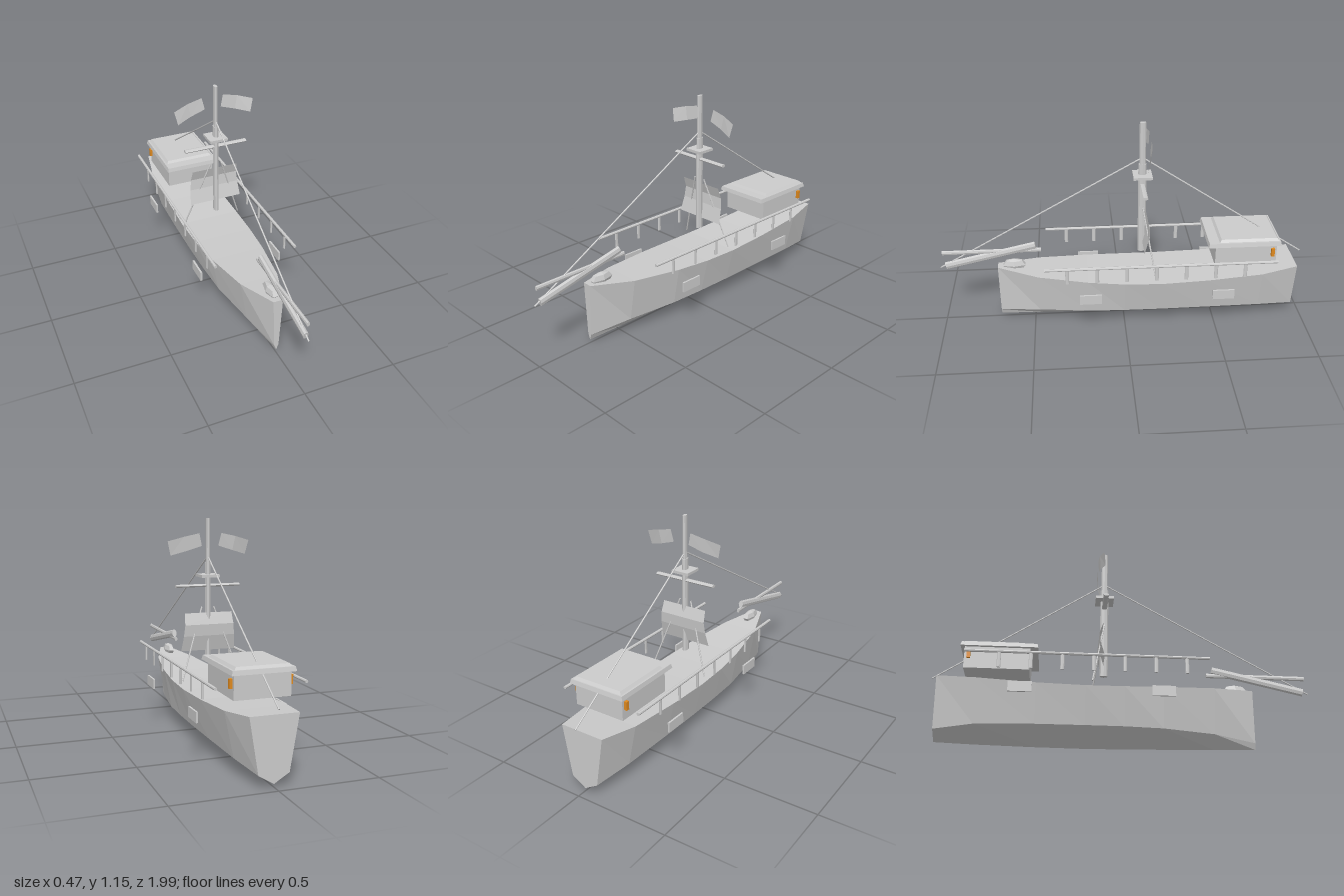
import * as THREE from 'three';

const grey = new THREE.MeshStandardMaterial({ color: 0xcccccc, flatShading: true });
const greyThin = new THREE.MeshStandardMaterial({ color: 0xcccccc, flatShading: true, side: THREE.DoubleSide });
const orange = new THREE.MeshStandardMaterial({ color: 0xe08a1e, flatShading: true });

export function createModel() {
  const ship = new THREE.Group();
  ship.name = 'ship';

  const add = (name, geo, mat = grey) => {
    const mesh = new THREE.Mesh(geo, mat);
    mesh.name = name;
    ship.add(mesh);
    return mesh;
  };
  const box = (name, w, h, d, x, y, z, mat) => add(name, new THREE.BoxGeometry(w, h, d).translate(x, y, z), mat);

  // Round pole between two points, optionally narrowed across the ship
  const pole = (name, from, to, r, sides = 8, squash = 1) => {
    const a = new THREE.Vector3(...from), b = new THREE.Vector3(...to);
    const dir = b.clone().sub(a);
    const geo = new THREE.CylinderGeometry(r, r, dir.length(), sides);
    geo.applyQuaternion(new THREE.Quaternion().setFromUnitVectors(new THREE.Vector3(0, 1, 0), dir.normalize()));
    geo.scale(squash, 1, 1);
    const mid = a.add(b).multiplyScalar(0.5);
    return add(name, geo.translate(mid.x, mid.y, mid.z));
  };

  // Thin curved sheet from rows of [left point, right point]
  const sheet = (name, rows) => {
    const pos = rows.flat(2), idx = [];
    for (let i = 0; i < rows.length - 1; i++) {
      const k = i * 2;
      idx.push(k, k + 2, k + 3, k, k + 3, k + 1);
    }
    const geo = new THREE.BufferGeometry();
    geo.setAttribute('position', new THREE.Float32BufferAttribute(pos, 3));
    geo.setIndex(idx);
    const flat = geo.toNonIndexed();
    flat.computeVertexNormals();
    return add(name, flat, greyThin);
  };

  // Rectangular slab with a smaller top
  const taperedSlab = (name, w, h, d, inset, y, z) => {
    const geo = new THREE.BoxGeometry(w, h, d);
    const p = geo.attributes.position;
    for (let i = 0; i < p.count; i++) {
      if (p.getY(i) > 0) {
        p.setX(i, p.getX(i) - Math.sign(p.getX(i)) * inset);
        p.setZ(i, p.getZ(i) - Math.sign(p.getZ(i)) * inset);
      }
    }
    geo.computeVertexNormals();
    return add(name, geo.translate(0, y, z));
  };

  // Hull stations, stern to bow: z, keel y, chine x, chine y, sheer x, sheer y
  const stations = [
    [-0.95, 0.015, 0.075, 0.06, 0.12, 0.328],
    [-0.75, 0.008, 0.11, 0.08, 0.158, 0.308],
    [-0.45, 0.002, 0.12, 0.085, 0.166, 0.288],
    [-0.2, 0, 0.122, 0.085, 0.17, 0.28],
    [0, 0.002, 0.12, 0.085, 0.165, 0.283],
    [0.2, 0.006, 0.11, 0.083, 0.148, 0.293],
    [0.47, 0.012, 0.065, 0.075, 0.105, 0.312],
    [0.69, 0.018, 0.012, 0.05, 0.026, 0.335],
  ];
  const pos = [], idx = [], n = 5;
  stations.forEach(([z, ky, cx, cy, sx, sy]) =>
    pos.push(0, ky, z, cx, cy, z, sx, sy, z, -sx, sy, z, -cx, cy, z));
  for (let i = 0; i < stations.length - 1; i++) {
    for (let j = 0; j < n; j++) {
      const a = i * n + j, b = i * n + (j + 1) % n;
      idx.push(a, b, b + n, a, b + n, a + n);
    }
  }
  const last = (stations.length - 1) * n;
  for (let j = 1; j < n - 1; j++) idx.push(0, j + 1, j, last, last + j, last + j + 1);
  let hull = new THREE.BufferGeometry();
  hull.setAttribute('position', new THREE.Float32BufferAttribute(pos, 3));
  hull.setIndex(idx);
  hull = hull.toNonIndexed();
  hull.computeVertexNormals();
  add('hull', hull);

  // Bow fittings
  add('bowFigure', new THREE.SphereGeometry(1, 6, 4).scale(0.028, 0.036, 0.07).translate(0, 0.338, 0.6));
  pole('bowsprit', [0, 0.425, 0.45], [0, 0.425, 0.985], 0.013, 8, 0.7);
  pole('lowerBowsprit', [0, 0.345, 0.97], [0, 0.455, 0.48], 0.022, 8, 0.65);

  // Mast, lookout and yard
  pole('lowerMast', [0, 0.4, -0.1], [0, 0.92, -0.1], 0.022, 8, 0.63);
  pole('upperMast', [0, 0.9, -0.1], [0, 1.15, -0.1], 0.017, 8, 0.6);
  box('lookoutPlatform', 0.1, 0.014, 0.1, 0, 0.854, -0.1);
  const yard = pole('yard', [-0.175, 0, 0], [0.175, 0, 0], 0.008);
  yard.geometry.scale(1, 1, 1.8);
  yard.position.set(0, 0.802, -0.1);

  // Square sail, bellied aft
  sheet('mainSail', [[0.66, -0.11, 0.13], [0.6, -0.13, 0.134], [0.54, -0.125, 0.14], [0.46, -0.103, 0.148]]
    .map(([y, z, x]) => [[-x, y, z], [x, y, z]]));

  // Stays to bow and stern
  pole('foreStay', [0, 0.955, -0.1], [0, 0.335, 1], 0.004, 6);
  pole('aftStay', [0, 0.955, -0.1], [0, 0.36, -0.99], 0.004, 6);

  // Deck house with stepped roof
  box('cabin', 0.28, 0.125, 0.333, 0, 0.43, -0.653);
  taperedSlab('roofEave', 0.315, 0.022, 0.395, 0.005, 0.496, -0.643);
  taperedSlab('roofTop', 0.285, 0.014, 0.325, 0.012, 0.513, -0.668);

  // Parts mirrored on both sides
  for (const s of [1, -1]) {
    sheet('pennant', [
      [[s * 0.06, 1.075, -0.14], [s * 0.045, 1.01, -0.135]],
      [[s * 0.14, 1.058, -0.135], [s * 0.125, 0.985, -0.13]],
      [[s * 0.222, 1.035, -0.115], [s * 0.205, 0.962, -0.107]],
    ]);
    pole('shroud', [s * 0.033, 0.69, -0.1], [s * 0.162, 0.31, -0.165], 0.004, 6);
    box('lantern', 0.016, 0.045, 0.018, s * 0.147, 0.442, -0.797, orange);

    pole('rail', [s * 0.222, 0.426, -0.81], [s * 0.222, 0.426, 0.43], 0.008);
    for (let i = 0; i < 7; i++) {
      const z = 0.312 - i * 0.158;
      const post = pole('railPost', [0, 0.34, 0], [0, 0.42, 0], 0.01, 8, 0.5);
      post.position.set(s * 0.222, 0, z);
    }
    for (const z of [0.19, -0.525]) box('sidePanel', 0.01, 0.054, 0.118, s * 0.229, 0.238, z);
  }
  return ship;
}
